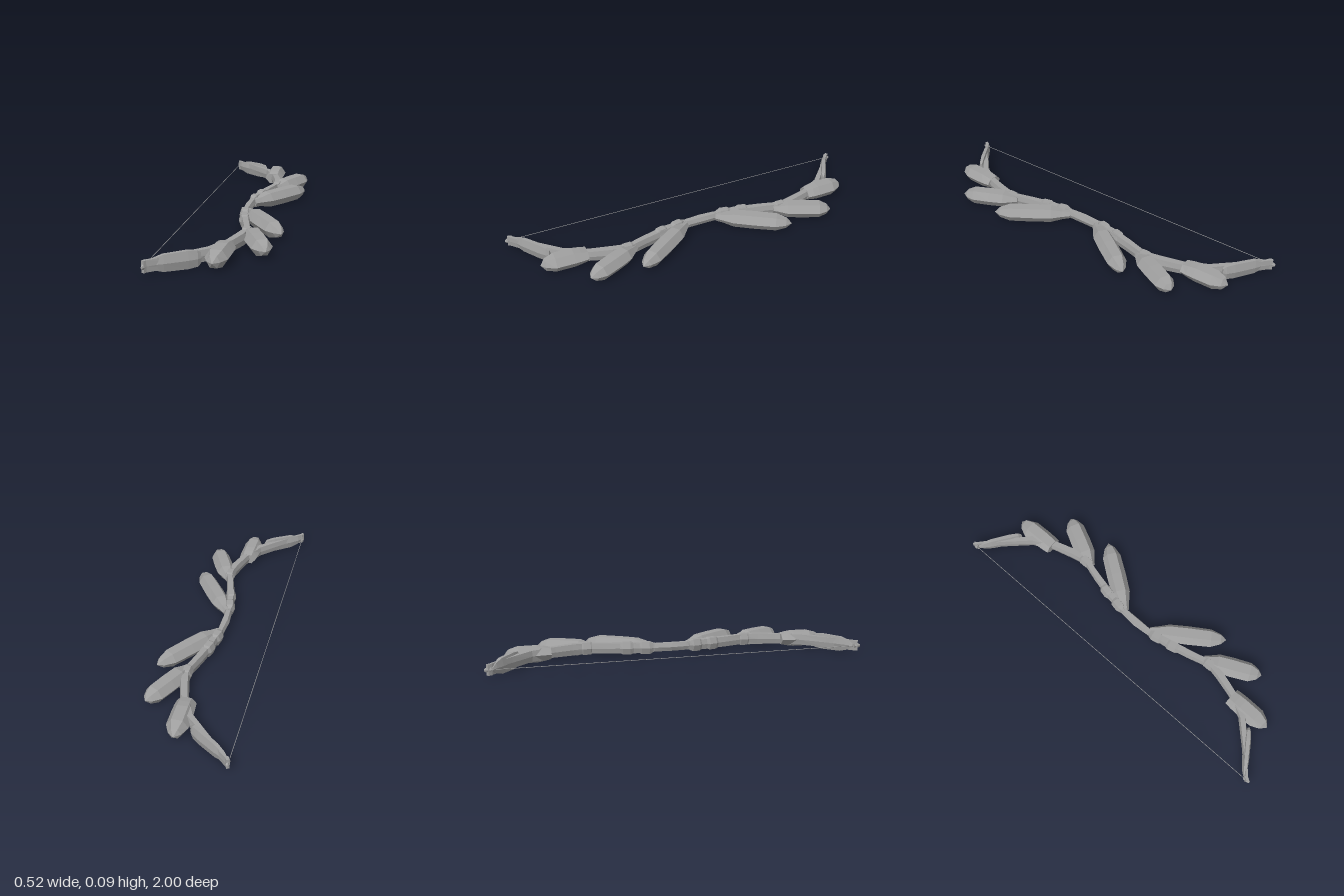
import * as THREE from 'three';

const MID = 0.0425; // height of the bow's centre plane
const UP = new THREE.Vector3(0, 1, 0);
const grey = new THREE.MeshStandardMaterial({ color: 0xa0a0a0 });
grey.name = 'grey';

// Six-sided faceted body through stations [x, z, halfWidth, halfHeight]
function loft(name, stations, flat = 0.5) {
  const pts = stations.map(([x, z]) => new THREE.Vector3(x, MID, z));
  const rings = stations.map(([, , w, h], i) => {
    const t = pts[Math.min(i + 1, pts.length - 1)].clone().sub(pts[Math.max(i - 1, 0)]).normalize();
    const n = UP.clone().cross(t);
    return [[1, 0], [flat, 1], [-flat, 1], [-1, 0], [-flat, -1], [flat, -1]]
      .map(([a, b]) => pts[i].clone().addScaledVector(n, a * w).addScaledVector(UP, b * h));
  });
  const tris = [];
  for (let i = 0; i < rings.length - 1; i++) {
    for (let j = 0; j < 6; j++) {
      const k = (j + 1) % 6;
      const [a, b, c, d] = [rings[i][j], rings[i][k], rings[i + 1][k], rings[i + 1][j]];
      tris.push(a, b, c, a, c, d);
    }
  }
  const first = rings[0], last = rings[rings.length - 1];
  for (let j = 1; j < 5; j++) {
    tris.push(first[0], first[j + 1], first[j]);
    tris.push(last[0], last[j], last[j + 1]);
  }
  const geometry = new THREE.BufferGeometry().setFromPoints(tris);
  geometry.computeVertexNormals();
  const mesh = new THREE.Mesh(geometry, grey);
  mesh.name = name;
  return mesh;
}

// Leaf blade from base to tip; profile rows are [fraction, width, height]
function leaf(name, [x0, z0], [x1, z1], w, h, profile) {
  return loft(name, profile.map(([f, a, b]) =>
    [x0 + (x1 - x0) * f, z0 + (z1 - z0) * f, w * a, h * b]));
}

const STEMMED = [[0, 0.4, 0.5], [0.1, 0.6, 0.62], [0.25, 0.95, 0.97], [0.5, 1, 1],
  [0.8, 0.95, 0.97], [0.93, 0.55, 0.6], [1, 0.03, 0.03]];
const BLUNT = [[0, 0.35, 0.6], [0.07, 0.8, 0.9], [0.25, 1, 1], [0.7, 0.9, 0.93],
  [0.9, 0.6, 0.6], [1, 0.2, 0.15]];

function createHalf(s) {
  const half = new THREE.Group();
  half.name = s > 0 ? 'frontHalf' : 'backHalf';
  const m = (rows) => rows.map(([x, z, ...r]) => [x, z * s, ...r]);
  const p = (x, z) => [x, z * s];

  // Limb segments
  half.add(
    loft('innerLimb', m([[0.005, 0.09, 0.016, 0.022], [0.025, 0.2, 0.023, 0.028],
      [0.055, 0.33, 0.021, 0.028], [0.088, 0.45, 0.018, 0.028]]), 0.7),
    loft('middleLimb', m([[0.09, 0.43, 0.016, 0.028], [0.075, 0.53, 0.024, 0.03],
      [0.045, 0.63, 0.022, 0.028], [0.015, 0.71, 0.018, 0.026]]), 0.7),
    loft('outerLimb', m([[0.025, 0.67, 0.022, 0.028], [-0.02, 0.76, 0.02, 0.029],
      [-0.13, 0.865, 0.014, 0.029], [-0.252, 0.975, 0.008, 0.028]]), 0.7));

  // Collars at the joints
  for (const [x, z, dx, dz] of [[0.012, 0.14, 0.008, 0.04], [0.03, 0.24, 0.01, 0.04],
    [0.085, 0.45, 0, 0.04], [0.015, 0.695, -0.012, 0.035]]) {
    half.add(loft('collar', m([[x - dx, z - dz, 0.016, 0.024], [x - dx / 2, z - dz / 2, 0.028, 0.033],
      [x + dx / 2, z + dz / 2, 0.028, 0.033], [x + dx, z + dz, 0.016, 0.024]]), 0.6));
  }

  // Leaves
  half.add(
    leaf('innerLeaf', p(0.015, 0.09), p(0.25, 0.43), 0.053, 0.0405, STEMMED),
    leaf('middleLeaf', p(0.085, 0.41), p(0.222, 0.695), 0.055, 0.0405, STEMMED),
    leaf('outerLeaf', p(0.028, 0.65), p(0.022, 0.89), 0.057, 0.0405,
      [[0, 0.85, 0.7], [0.15, 0.92, 0.88], [0.3, 0.95, 1], [0.7, 0.95, 1], [0.9, 0.55, 0.7], [1, 0.03, 0.03]]),
    leaf('tipLeaf', p(-0.045, 0.822), p(-0.25, 0.96), 0.02, 0.0425, BLUNT));

  // Nock where the string is tied
  half.add(
    loft('nock', m([[-0.247, 0.965, 0.01, 0.028], [-0.258, 0.985, 0.009, 0.028]]), 0.8),
    loft('nockPin', m([[-0.255, 0.965, 0.01, 0.012], [-0.256, 0.99, 0.009, 0.011],
      [-0.257, 1, 0.004, 0.005]])));
  return half;
}

export function createModel() {
  const bow = new THREE.Group();
  bow.name = 'leafBow';

  bow.add(loft('grip', [[0.008, -0.13, 0.014, 0.02], [0.006, -0.08, 0.019, 0.022], [0.003, 0, 0.023, 0.022],
    [0.006, 0.08, 0.019, 0.022], [0.008, 0.13, 0.014, 0.02]], 0.6));
  bow.add(createHalf(1), createHalf(-1));

  // String
  const string = new THREE.Mesh(new THREE.CylinderGeometry(0.0015, 0.0015, 1.95, 6), grey);
  string.name = 'string';
  string.rotation.x = Math.PI / 2;
  string.position.set(-0.258, MID, 0);
  bow.add(string);
  return bow;
}
